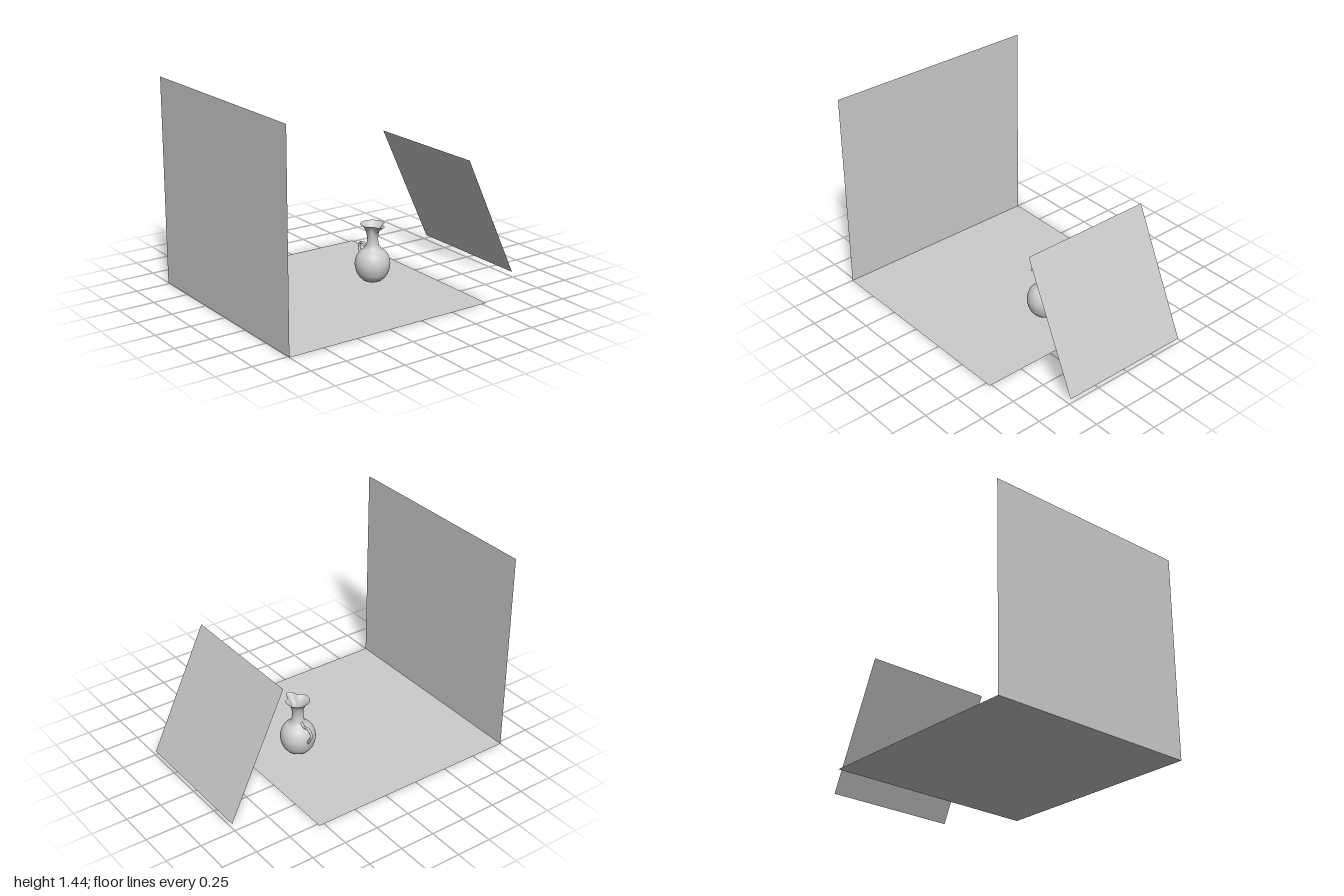
import * as THREE from 'three';
import { mergeVertices } from 'three/addons/utils/BufferGeometryUtils.js';

const grey = new THREE.MeshStandardMaterial({ color: 0xcccccc, side: THREE.DoubleSide });

// Flat sheet from one corner and two edge vectors
function sheet(name, corner, u, v) {
  const o = new THREE.Vector3(...corner), a = new THREE.Vector3(...u), b = new THREE.Vector3(...v);
  const geo = new THREE.BufferGeometry().setFromPoints([o, o.clone().add(a), o.clone().add(a).add(b), o.clone().add(b)]);
  geo.setIndex([0, 1, 2, 0, 2, 3]);
  geo.computeVertexNormals();
  const mesh = new THREE.Mesh(geo, grey);
  mesh.name = name;
  return mesh;
}

// Turned body, neck and flared rim; the rim is drawn out into a pinched spout at +z
function jugBody() {
  const curve = new THREE.SplineCurve([
    [0.058, 0.002], [0.085, 0.022], [0.109, 0.058], [0.122, 0.115], [0.114, 0.165], [0.092, 0.202],
    [0.06, 0.228], [0.044, 0.255], [0.038, 0.3], [0.044, 0.345], [0.06, 0.378], [0.085, 0.405],
  ].map(([r, y]) => new THREE.Vector2(r, y)));
  const profile = [new THREE.Vector2(0, 0), new THREE.Vector2(0.055, 0), ...curve.getPoints(56)];
  let geo = new THREE.LatheGeometry(profile, 64, Math.PI);
  geo.deleteAttribute('uv');
  geo.deleteAttribute('normal');
  const p = geo.attributes.position;
  for (let i = 0; i < p.count; i++) {
    const x = p.getX(i), z = p.getZ(i), r = Math.hypot(x, z);
    const t = THREE.MathUtils.smoothstep(p.getY(i), 0.325, 0.42) / 0.93;
    if (t === 0 || r === 0) continue;
    const a = Math.abs(Math.atan2(x, z));
    const pull = 0.038 * Math.exp(-((a / 0.3) ** 2)) - 0.014 * Math.exp(-(((a - 0.7) / 0.3) ** 2));
    const k = 1 + (t * pull) / r;
    p.setX(i, x * k);
    p.setZ(i, z * k);
  }
  geo = mergeVertices(geo, 1e-5);
  geo.computeVertexNormals();
  const mesh = new THREE.Mesh(geo, grey);
  mesh.name = 'jugBody';
  return mesh;
}

// Looped handle at the back of the jug
function jugHandle() {
  const path = new THREE.CatmullRomCurve3([
    [0.245, -0.04], [0.228, -0.075], [0.238, -0.115], [0.222, -0.15],
    [0.188, -0.157], [0.155, -0.138], [0.12, -0.115],
  ].map(([y, z]) => new THREE.Vector3(0, y, z)));
  const mesh = new THREE.Mesh(new THREE.TubeGeometry(path, 48, 0.009, 12), grey);
  mesh.name = 'jugHandle';
  return mesh;
}

export function createModel() {
  const model = new THREE.Group();
  model.name = 'jugScene';

  // Ground sheet, upright wall and leaning panel
  model.add(sheet('floor', [-1, 0, 0.765], [1.535, 0, 0], [0, 0, -1.535]));
  model.add(sheet('wall', [-1, 0, 0.765], [0, 0, -1.535], [0, 1.44, 0]));
  model.add(sheet('leaningPanel', [1, 0.035, 0.49], [0, 0, -0.96], [-0.405, 0.865, 0]));

  const jug = new THREE.Group();
  jug.name = 'jug';
  jug.position.set(0.175, 0.002, -0.015);
  jug.add(jugBody(), jugHandle());
  model.add(jug);
  return model;
}
